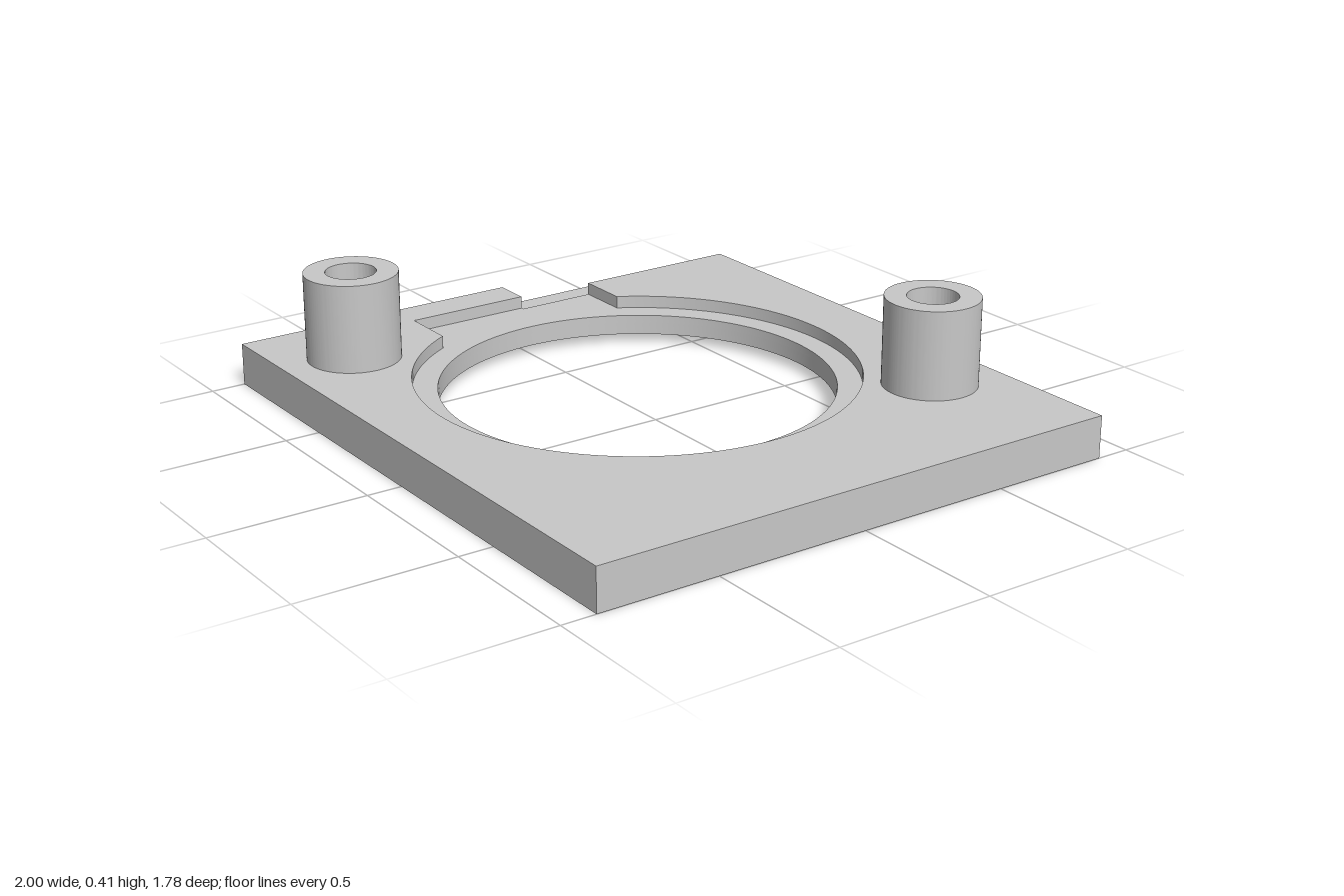
import * as THREE from 'three';
import { toCreasedNormals } from 'three/addons/utils/BufferGeometryUtils.js';

// Plan outlines use shape y = -z, then get laid flat.
const CX = -0.095, HOLE_R = 0.612, SEAT_R = 0.69, RECESS_R = 0.872, CHANNEL_Z = 0.335;
const Y = { recess: 0.03, strip: 0.07, seat: 0.095, top: 0.135, boss: 0.415 };

// Points run counter-clockwise seen from above, so that holes face inward.
function polygon(points) {
  return new THREE.Shape(points.map(([x, z]) => new THREE.Vector2(x, -z)));
}

function withHole(shape, x, z, r) {
  shape.holes.push(new THREE.Path().absarc(x, -z, r, 0, Math.PI * 2, true));
  return shape;
}

function slab(name, shape, y0, y1, material) {
  const geo = new THREE.ExtrudeGeometry(shape, { depth: y1 - y0, bevelEnabled: false, curveSegments: 96 });
  geo.rotateX(-Math.PI / 2);
  geo.translate(0, y0, 0);
  const mesh = new THREE.Mesh(toCreasedNormals(geo, Math.PI / 6), material);
  mesh.name = name;
  return mesh;
}

export function createModel() {
  const group = new THREE.Group();
  group.name = 'mountingPlate';
  const grey = new THREE.MeshStandardMaterial({ color: 0xc8c8c8 });
  grey.name = 'grey';

  const rect = () => polygon([[-1, 0.89], [1, 0.89], [1, -0.89], [-1, -0.89]]);

  // Underside rim around the wide shallow recess
  group.add(slab('undersideRim', withHole(rect(), CX, 0, RECESS_R), 0, Y.recess, grey));

  // Full plate up to the edge strip floor
  group.add(slab('plateBase', withHole(rect(), CX, 0, HOLE_R), Y.recess, Y.strip, grey));

  // Layer notched by the edge strip
  const notched = polygon([[-0.87, -0.075], [-1, -0.075], [-1, 0.89], [1, 0.89], [1, -0.89], [-0.87, -0.89]]);
  group.add(slab('seatLayer', withHole(notched, CX, 0, HOLE_R), Y.strip, Y.seat, grey));

  // Top layer: round seat joined to the side channel and edge strip
  const top = polygon([[-0.87, -CHANNEL_Z], [-0.87, -0.89], [1, -0.89], [1, 0.89], [-1, 0.89],
    [-1, -0.075], [-0.88, -0.075], [-0.88, CHANNEL_Z]]);
  const mouth = Math.PI - Math.asin(CHANNEL_Z / SEAT_R);
  top.absarc(CX, 0, SEAT_R, -mouth, mouth, false);
  group.add(slab('topLayer', top, Y.seat, Y.top, grey));

  // Hollow bosses at opposite corners
  for (const [name, x, z] of [['backBoss', 0.511, -0.652], ['frontBoss', -0.695, 0.655]]) {
    const ring = new THREE.Shape().absarc(x, -z, 0.147, 0, Math.PI * 2, false);
    group.add(slab(name, withHole(ring, x, z, 0.079), Y.top, Y.boss, grey));
  }
  return group;
}
